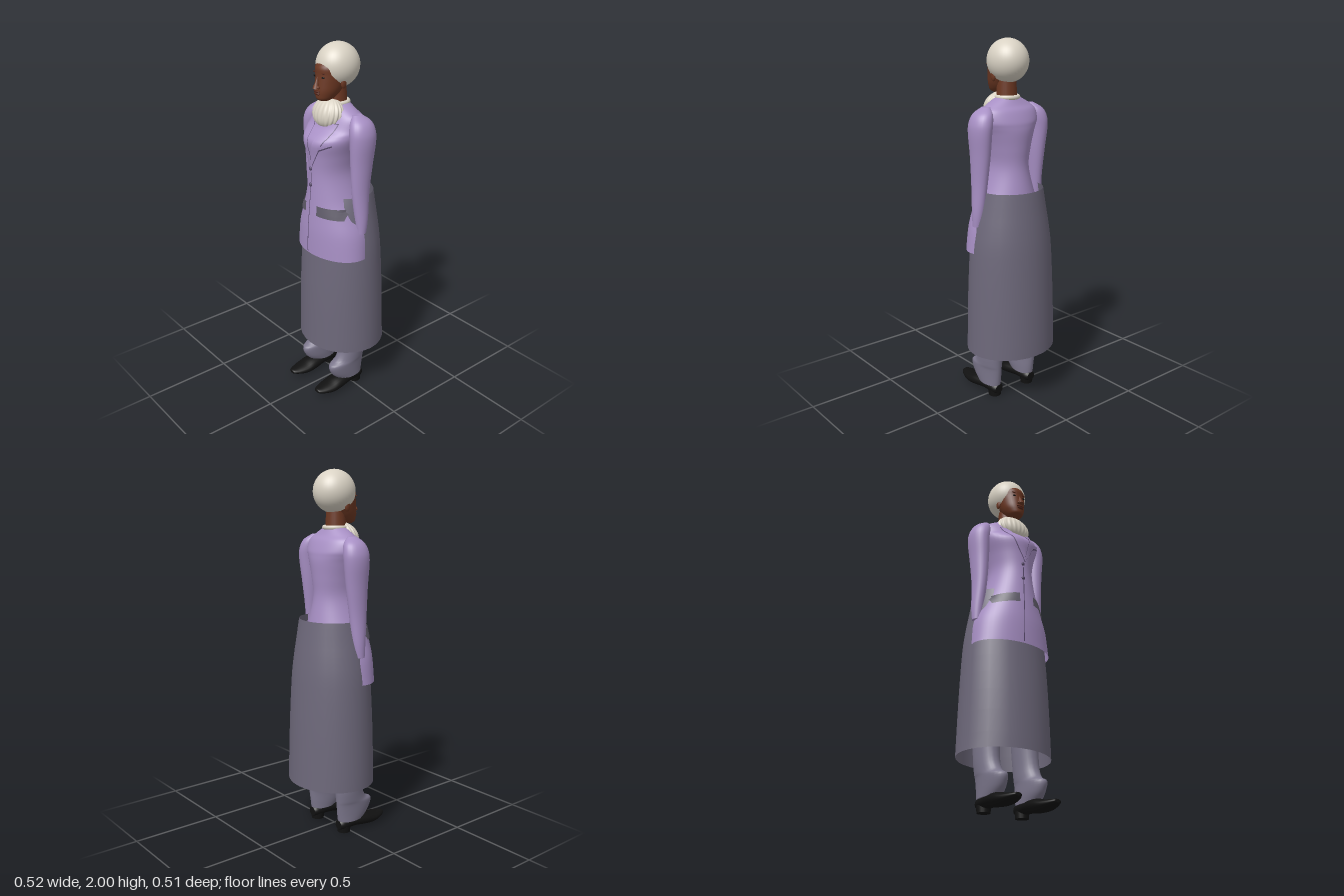
import * as THREE from 'three';

const mat = (name, color, side = THREE.FrontSide) => {
  const m = new THREE.MeshStandardMaterial({ color, side });
  m.name = name;
  return m;
};

// Rings are [height, centreX, halfWidth, frontZ, backZ]; smooth rows between them
function smoothRows(rings, sub = 5) {
  const rows = [];
  const at = (i) => rings[Math.min(Math.max(i, 0), rings.length - 1)];
  for (let i = 0; i < rings.length - 1; i++) {
    for (let s = 0; s < sub; s++) {
      const t = s / sub;
      rows.push(rings[i].map((b, k) => {
        const a = at(i - 1)[k], c = at(i + 1)[k], d = at(i + 2)[k];
        return b + 0.5 * t * (c - a + t * (2 * a - 5 * b + 4 * c - d + t * (3 * (b - c) + d - a)));
      }));
    }
  }
  rows.push(rings[rings.length - 1]);
  return rows;
}

// Skin a stack of elliptical rows, with optional flat ends
function loft(rows, seg = 32, caps = true) {
  const pos = [], idx = [];
  const addRow = ([y, cx, rx, f, b]) => {
    for (let j = 0; j < seg; j++) {
      const a = (j / seg) * Math.PI * 2;
      pos.push(cx + rx * Math.sin(a), y, (f + b) / 2 + ((f - b) / 2) * Math.cos(a));
    }
  };
  rows.forEach(addRow);
  for (let i = 0; i < rows.length - 1; i++) {
    for (let j = 0; j < seg; j++) {
      const a = i * seg + j, b = i * seg + ((j + 1) % seg);
      idx.push(a, b, b + seg, a, b + seg, a + seg);
    }
  }
  if (caps) {
    [rows[0], rows[rows.length - 1]].forEach((row, top) => {
      const base = pos.length / 3;
      addRow(row);
      for (let j = 1; j < seg - 1; j++) {
        if (top) idx.push(base, base + j, base + j + 1);
        else idx.push(base, base + j + 1, base + j);
      }
    });
  }
  const g = new THREE.BufferGeometry();
  g.setAttribute('position', new THREE.Float32BufferAttribute(pos, 3));
  g.setIndex(idx);
  g.computeVertexNormals();
  return g;
}

// Front depth of a lofted body at a given x, y
function frontZ(rows, x, y) {
  let i = 0;
  while (i < rows.length - 2 && rows[i + 1][0] < y) i++;
  const t = THREE.MathUtils.clamp((y - rows[i][0]) / (rows[i + 1][0] - rows[i][0]), 0, 1);
  const [, cx, rx, f, b] = rows[i].map((v, k) => v + (rows[i + 1][k] - v) * t);
  const u = Math.min(Math.abs(x - cx) / rx, 1);
  return (f + b) / 2 + ((f - b) / 2) * Math.sqrt(1 - u * u);
}

// Thin patch lying on a body's front: edges are [y, xLeft, xRight] from bottom to top
function patch(rows, edges, lift, slant = 0, nx = 8, ny = 12) {
  const g = new THREE.PlaneGeometry(1, 1, nx, ny);
  const p = g.attributes.position;
  for (let i = 0; i < p.count; i++) {
    const u = p.getX(i) + 0.5;
    const v = (p.getY(i) + 0.5) * (edges.length - 1);
    const k = Math.min(Math.floor(v), edges.length - 2);
    const [y0, l, r] = edges[k].map((e, n) => e + (edges[k + 1][n] - e) * (v - k));
    const x = l + (r - l) * u, y = y0 + slant * (u - 0.5);
    p.setXYZ(i, x, y, frontZ(rows, x, y) + lift);
  }
  g.computeVertexNormals();
  return g;
}

export function createModel() {
  const model = new THREE.Group();
  const lilac = mat('lilac cloth', 0xa78fc4, THREE.DoubleSide);
  const seamMat = mat('dark lilac', 0x5c4d70, THREE.DoubleSide);
  const skirtMat = mat('skirt grey', 0x6d687a, THREE.DoubleSide);
  const trouserMat = mat('trouser grey', 0x7b768b);
  const flapMat = mat('pocket grey', 0x5f5b69, THREE.DoubleSide);
  const cream = mat('cream', 0xd9d2c4);
  const skin = mat('brown skin', 0x6b3722);
  const lipMat = mat('lip brown', 0x552619);
  const black = mat('black', 0x111111);
  const add = (name, geo, material, x = 0, y = 0, z = 0) => {
    const m = new THREE.Mesh(geo, material);
    m.name = name;
    m.position.set(x, y, z);
    model.add(m);
    return m;
  };
  const ball = (rx, ry, rz, seg = 24) => new THREE.SphereGeometry(1, seg, seg * 0.75).scale(rx, ry, rz);

  // Jacket body
  const jacket = smoothRows([
    [0.87, 0, 0.238, 0.188, -0.13], [1.0, 0, 0.222, 0.188, -0.15], [1.1, 0, 0.188, 0.182, -0.155],
    [1.2, 0, 0.148, 0.175, -0.14], [1.33, 0, 0.118, 0.168, -0.12], [1.43, 0, 0.132, 0.174, -0.125],
    [1.51, 0, 0.158, 0.183, -0.13], [1.55, 0, 0.172, 0.152, -0.128], [1.58, 0, 0.178, 0.118, -0.122],
    [1.63, 0, 0.17, 0.09, -0.1], [1.66, 0, 0.135, 0.075, -0.075], [1.7, 0, 0.062, 0.055, -0.05],
  ]);
  add('jacketBody', loft(jacket, 48, false), lilac);

  // Skirt, an open tube
  const skirt = smoothRows([
    [0.29, 0, 0.26, 0.2, -0.255], [0.6, 0, 0.251, 0.194, -0.246], [0.87, 0, 0.238, 0.18, -0.232],
    [1.0, 0, 0.222, 0.172, -0.22], [1.1, 0, 0.204, 0.16, -0.207], [1.21, 0, 0.182, 0.125, -0.192],
  ], 3);
  add('skirt', loft(skirt, 28, false), skirtMat);

  // Front opening, buttons and chest pocket
  add('frontSeam', patch(jacket, [[0.88, -0.027, -0.022], [1.2, -0.016, -0.011], [1.34, -0.012, -0.007]], 0.003, 0, 1, 20), seamMat);
  for (const y of [1.27, 1.36]) {
    add('button', ball(0.011, 0.011, 0.006, 12), seamMat, -0.014, y, frontZ(jacket, 0, y) + 0.003);
  }
  add('chestPocketEdge', patch(jacket, [[1.487, 0.05, 0.118], [1.494, 0.05, 0.118]], 0.004, 0.035), seamMat);
  add('chestPocket', patch(jacket, [[1.495, 0.05, 0.118], [1.512, 0.054, 0.114]], 0.006, 0.035), lilac);

  for (const s of [1, -1]) {
    // Lapel and its shadowed border
    const lapel = (grow) => [[1.38 - grow, -0.004, 0.002], [1.47, 0.012, 0.052 + grow],
      [1.545, 0.03, 0.088 + grow], [1.61 + grow, 0.06, 0.105 + grow]].map(([y, l, r]) => (s > 0 ? [y, l, r] : [y, -r, -l]));
    add('lapelEdge', patch(jacket, lapel(0.003), 0.003), seamMat);
    add('lapel', patch(jacket, lapel(0), 0.006), lilac);

    // Hip pocket flap
    const flap = s > 0 ? [0.045, 0.17] : [-0.17, -0.045];
    add('pocketFlap', patch(jacket, [[1.105, ...flap], [1.16, ...flap]], 0.009, -0.014 * s), flapMat);

    // Sleeve
    add('sleeve', loft(smoothRows([
      [1.02, s * 0.207, 0.024, 0.032, -0.02], [1.1, s * 0.2, 0.033, 0.04, -0.035],
      [1.25, s * 0.191, 0.038, 0.055, -0.05], [1.4, s * 0.189, 0.047, 0.062, -0.07],
      [1.52, s * 0.192, 0.055, 0.068, -0.084], [1.58, s * 0.186, 0.056, 0.066, -0.084],
      [1.625, s * 0.172, 0.046, 0.05, -0.068], [1.656, s * 0.15, 0.02, 0.02, -0.03],
    ]), 28), lilac);

    // Trouser leg with a fold over the shoe
    add('trouserLeg', loft(smoothRows([
      [0.065, s * 0.122, 0.047, 0.1, -0.068], [0.11, s * 0.122, 0.051, 0.142, -0.074],
      [0.165, s * 0.124, 0.053, 0.158, -0.08], [0.2, s * 0.125, 0.055, 0.108, -0.083],
      [0.3, s * 0.125, 0.06, 0.08, -0.09], [0.6, s * 0.115, 0.075, 0.08, -0.1],
      [0.95, s * 0.09, 0.09, 0.09, -0.12],
    ]), 28), trouserMat);

    // Shoe, lofted from heel to toe, with a heel block
    const shoe = loft(smoothRows([
      [-0.07, s * 0.12, 0.026, -0.022, -0.07], [-0.045, s * 0.12, 0.038, -0.015, -0.08],
      [0.03, s * 0.12, 0.045, -0.018, -0.085], [0.11, s * 0.12, 0.055, -0.008, -0.08],
      [0.165, s * 0.12, 0.055, -0.008, -0.066], [0.215, s * 0.12, 0.042, -0.018, -0.058],
      [0.25, s * 0.12, 0.024, -0.03, -0.054], [0.256, s * 0.12, 0.012, -0.036, -0.05],
    ]), 24);
    add('shoe', shoe.rotateX(Math.PI / 2), black);
    add('heel', new THREE.CylinderGeometry(0.038, 0.035, 0.036, 20), black, s * 0.12, 0.018, -0.03);
  }

  // Neck, head and headwear
  add('neck', new THREE.CylinderGeometry(0.05, 0.058, 0.15, 24), skin, 0, 1.735, 0.008);
  const head = smoothRows([
    [1.716, 0, 0.022, 0.112, 0.06], [1.728, 0, 0.04, 0.13, 0.03], [1.75, 0, 0.054, 0.134, 0.0],
    [1.775, 0, 0.064, 0.134, -0.02], [1.81, 0, 0.072, 0.131, -0.05], [1.85, 0, 0.077, 0.127, -0.06],
    [1.885, 0, 0.078, 0.125, -0.06], [1.915, 0, 0.07, 0.106, -0.06],
  ]);
  add('head', loft(head, 36), skin);
  add('hair', ball(0.108, 0.115, 0.117, 40), cream, 0, 1.885, -0.002);

  // Face
  const nose = new THREE.ConeGeometry(0.019, 0.065, 12);
  nose.scale(1, 1, 1.15);
  add('nose', nose, skin, 0, 1.815, 0.132).rotation.x = -0.15;
  add('upperLip', ball(0.025, 0.006, 0.008, 12), lipMat, 0, 1.768, 0.134);
  add('lowerLip', ball(0.021, 0.007, 0.008, 12), lipMat, 0, 1.757, 0.134);
  for (const s of [1, -1]) {
    const x = s * 0.031;
    add('nostril', ball(0.01, 0.009, 0.011, 10), skin, s * 0.012, 1.791, 0.137);
    add('eye', ball(0.012, 0.005, 0.004, 12), black, x, 1.841, frontZ(head, x, 1.841));
    add('brow', ball(0.018, 0.0035, 0.004, 12), lipMat, x, 1.861, frontZ(head, x, 1.861));
    add('ear', ball(0.01, 0.028, 0.017, 14), skin, s * 0.077, 1.808, 0.024);
  }

  // Pleated neck ruff, leaning forward at its lower edge
  const ruff = new THREE.SphereGeometry(1, 96, 24);
  const p = ruff.attributes.position;
  for (let i = 0; i < p.count; i++) {
    const x = p.getX(i), y = p.getY(i), z = p.getZ(i);
    const k = 1 + 0.035 * Math.cos(Math.atan2(x, z) * 20) * Math.sqrt(Math.max(0, 1 - y * y));
    p.setXYZ(i, x * k * 0.1, y * 0.078, z * k * 0.063 - y * 0.018);
  }
  ruff.computeVertexNormals();
  add('neckRuff', ruff, cream, 0, 1.648, 0.062);
  const collar = new THREE.TorusGeometry(0.058, 0.012, 10, 32).rotateX(Math.PI / 2);
  add('collarBand', collar, cream, 0, 1.697, 0.004);
  return model;
}
